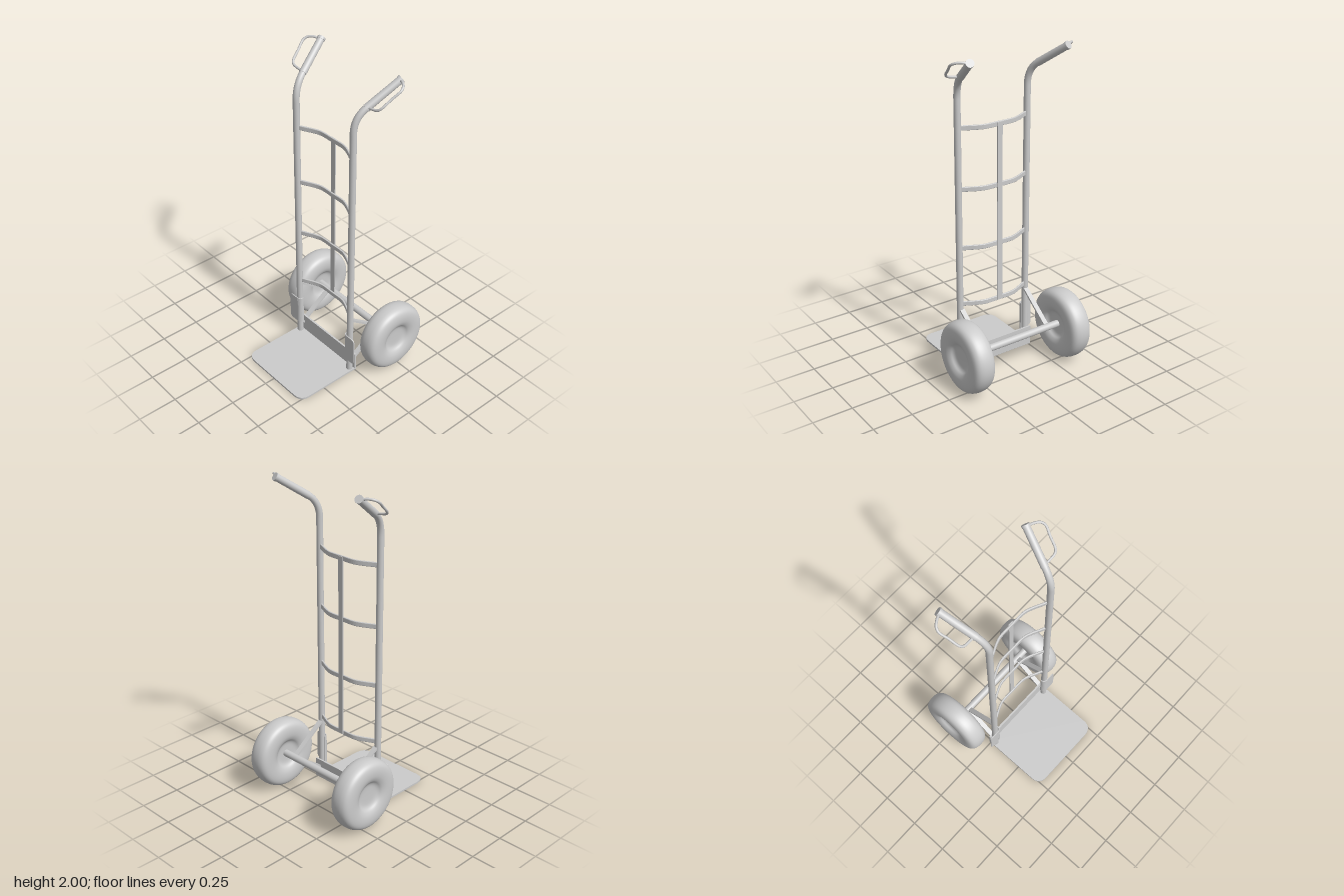
import * as THREE from 'three';

const V = (x, y, z) => new THREE.Vector3(x, y, z);
const grey = new THREE.MeshStandardMaterial({ color: 0xcccccc });

export function createModel() {
  const model = new THREE.Group();
  const add = (name, geometry, parent = model) => {
    const mesh = new THREE.Mesh(geometry, grey);
    mesh.name = name;
    parent.add(mesh);
    return mesh;
  };

  // Round bar between two points
  const rod = (name, a, b, r0, r1 = r0, parent = model) => {
    const dir = b.clone().sub(a);
    const mesh = add(name, new THREE.CylinderGeometry(r1, r0, dir.length(), 24), parent);
    mesh.position.copy(a).add(b).multiplyScalar(0.5);
    mesh.quaternion.setFromUnitVectors(V(0, 1, 0), dir.normalize());
    return mesh;
  };

  // Strip that follows a plan path of [x, z] points and stands from y0 to y1
  const ribbon = (path, thick, y0, y1, bevel = 0) => {
    const pts = path.map(([x, z]) => new THREE.Vector2(x, -z));
    const side = (k) => pts.map((p, i) => {
      const t = pts[Math.min(i + 1, pts.length - 1)].clone().sub(pts[Math.max(i - 1, 0)]).normalize();
      return new THREE.Vector2(p.x - t.y * k, p.y + t.x * k);
    });
    const half = thick / 2 - bevel;
    const shape = new THREE.Shape([...side(half), ...side(-half).reverse()]);
    const g = new THREE.ExtrudeGeometry(shape, {
      depth: y1 - y0 - 2 * bevel, bevelEnabled: bevel > 0,
      bevelSize: bevel, bevelThickness: bevel, bevelSegments: 3,
    });
    return g.rotateX(-Math.PI / 2).translate(0, y0 + bevel, 0);
  };

  // Toe plate with rounded front corners, and its upright back lip
  const w = 0.265, front = 0.435, back = -0.01, r = 0.07;
  const toe = new THREE.Shape();
  toe.moveTo(-w, -back);
  toe.lineTo(-w, -front + r);
  toe.quadraticCurveTo(-w, -front, -w + r, -front);
  toe.lineTo(w - r, -front);
  toe.quadraticCurveTo(w, -front, w, -front + r);
  toe.lineTo(w, -back);
  add('toePlate', new THREE.ExtrudeGeometry(toe, { depth: 0.012, bevelEnabled: false, curveSegments: 16 })
    .rotateX(-Math.PI / 2));
  add('toePlateLip', new THREE.BoxGeometry(2 * w, 0.125, 0.012).translate(0, 0.0625, -0.004));

  // Bowed cross bars
  const bow = new THREE.CatmullRomCurve3([
    V(-0.235, 0, 0.02), V(-0.2, 0, 0.004), V(-0.14, 0, -0.025), V(-0.095, 0, -0.039), V(0, 0, -0.04),
    V(0.095, 0, -0.039), V(0.14, 0, -0.025), V(0.2, 0, 0.004), V(0.235, 0, 0.02),
  ]).getPoints(40).map((p) => [p.x, p.z]);
  for (const y of [0.43, 0.8, 1.17, 1.54]) {
    add('crossBar', ribbon(bow, 0.011, y - 0.015, y + 0.015, 0.004));
  }
  add('centreStrip', new THREE.BoxGeometry(0.034, 1.13, 0.007).translate(0, 0.985, -0.047));

  // Axle
  const axleY = 0.227, axleZ = -0.218;
  rod('axle', V(-0.34, axleY, axleZ), V(0.34, axleY, axleZ), 0.022);

  // Tyre and dished hub: half profile as [radius, offset], mirrored across the wheel
  const half = [[0, 0.036], [0.055, 0.037], [0.08, 0.044], [0.098, 0.058], [0.125, 0.068], [0.16, 0.07],
    [0.19, 0.064], [0.208, 0.05], [0.217, 0.03], [0.22, 0.01]];
  const profile = new THREE.SplineCurve([
    ...half.map(([a, b]) => new THREE.Vector2(a, -b)),
    ...half.slice().reverse().map(([a, b]) => new THREE.Vector2(a, b)),
  ]).getPoints(60).map((p) => new THREE.Vector2(Math.max(p.x, 0), p.y));
  const wheelGeometry = new THREE.LatheGeometry(profile, 64).rotateZ(Math.PI / 2);

  for (const s of [1, -1]) {
    const side = new THREE.Group();
    side.name = s > 0 ? 'leftSide' : 'rightSide';
    model.add(side);

    add('wheel', wheelGeometry, side).position.set(s * 0.35, axleY, axleZ);

    // Upright tube, bent back and outward at the top
    const bend = V(s * 0.24, 1.805, 0.022), tip = V(s * 0.322, 1.982, -0.234);
    const at = (t) => bend.clone().lerp(tip, t);
    const path = new THREE.CurvePath();
    const bendStart = V(s * 0.24, 1.71, 0.022);
    path.add(new THREE.LineCurve3(V(s * 0.24, 0.006, 0.022), bendStart));
    path.add(new THREE.QuadraticBezierCurve3(bendStart, bend, at(0.27)));
    path.add(new THREE.LineCurve3(at(0.27), at(0.9)));
    add('upright', new THREE.TubeGeometry(path, 160, 0.02, 20), side);

    // Grip with end flange and knuckle guard
    rod('grip', at(0.26), tip, 0.0225, 0.0215, side);
    rod('gripFlange', at(0.97), at(1.015), 0.024, 0.024, side);
    const guard = new THREE.CatmullRomCurve3([
      at(0.29), V(s * 0.3, 1.862, -0.049), V(s * 0.345, 1.872, -0.05), V(s * 0.362, 1.887, -0.062),
      V(s * 0.38, 1.93, -0.115), V(s * 0.397, 1.967, -0.163), V(s * 0.388, 1.981, -0.186),
      V(s * 0.36, 1.986, -0.208), at(0.98),
    ], false, 'centripetal');
    add('knuckleGuard', new THREE.TubeGeometry(guard, 60, 0.0075, 10), side);

    // Wheel guard: flat plate with rounded outer corners, curled round the tube
    const plate = new THREE.Shape();
    plate.moveTo(s * 0.236, 0.1);
    plate.lineTo(s * 0.28, 0.1);
    plate.quadraticCurveTo(s * 0.305, 0.1, s * 0.305, 0.125);
    plate.lineTo(s * 0.305, 0.265);
    plate.quadraticCurveTo(s * 0.305, 0.29, s * 0.28, 0.29);
    plate.lineTo(s * 0.236, 0.29);
    add('wheelGuard', new THREE.ExtrudeGeometry(plate, { depth: 0.006, bevelEnabled: false })
      .translate(0, 0, 0.043), side);
    const curl = [];
    for (let i = 0; i <= 12; i++) {
      const a = Math.PI / 2 + (i / 12) * Math.PI * 0.55;
      curl.push([s * (0.236 + 0.024 * Math.cos(a)), 0.022 + 0.024 * Math.sin(a)]);
    }
    add('wheelGuardCurl', ribbon(curl, 0.006, 0.1, 0.29), side);

    // Flat braces from the upright to the axle
    for (const y of [0.395, 0.07]) {
      const a = V(s * 0.236, y, 0.008), b = V(s * 0.236, axleY, axleZ);
      const brace = add('axleBrace', new THREE.BoxGeometry(0.03, 0.012, a.distanceTo(b)), side);
      brace.position.copy(a).add(b).multiplyScalar(0.5);
      brace.lookAt(b);
    }
  }
  return model;
}
